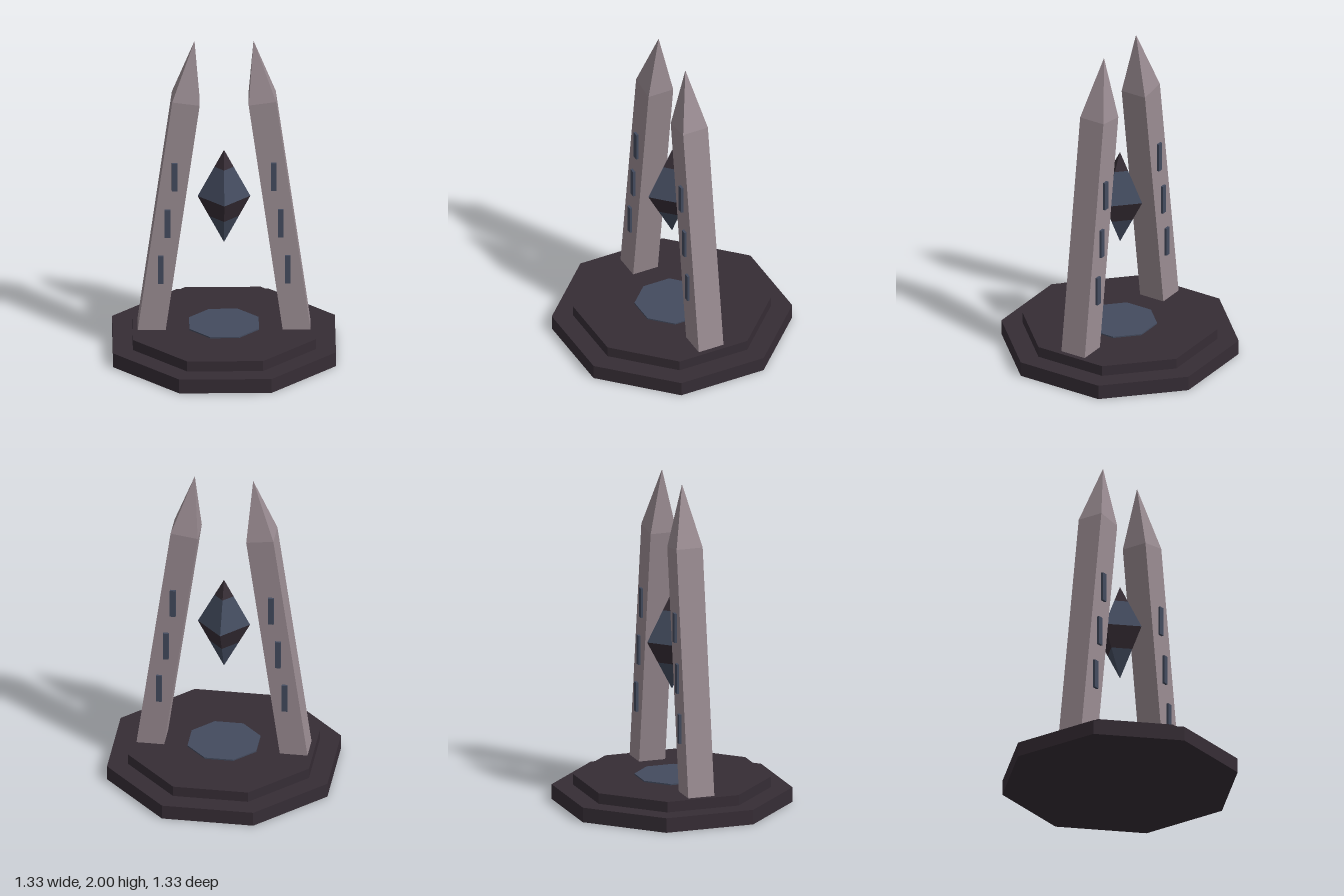
import * as THREE from 'three';

const material = (name, color) =>
  new THREE.MeshStandardMaterial({ name, color, flatShading: true });

export function createModel() {
  const model = new THREE.Group();
  model.name = 'monument';
  const paleStone = material('paleStone', 0x9a8c92);
  const darkStone = material('darkStone', 0x362d35);
  const slateBlue = material('slateBlue', 0x434b5e);

  const add = (parent, name, geometry, mat, x = 0, y = 0, z = 0) => {
    const mesh = new THREE.Mesh(geometry, mat);
    mesh.name = name;
    mesh.position.set(x, y, z);
    parent.add(mesh);
    return mesh;
  };

  // Octagonal slab given by its half width across flats
  const slab = (name, halfWidth, bottom, top, mat) => {
    const r = halfWidth / Math.cos(Math.PI / 8);
    const geometry = new THREE.CylinderGeometry(r, r, top - bottom, 8).rotateY(Math.PI / 8);
    add(model, name, geometry, mat, 0, (bottom + top) / 2);
  };
  slab('lowerStep', 0.663, 0, 0.09, darkStone);
  slab('upperStep', 0.545, 0.09, 0.155, darkStone);
  slab('centreDisc', 0.207, 0.155, 0.163, slateBlue);

  // Leaning pillars with pointed caps and upright inlays on front and back
  const tilt = 0.1377, width = 0.165, length = 1.51, capHeight = 0.379;
  for (const side of [1, -1]) {
    const label = side > 0 ? 'left' : 'right';
    const pillar = new THREE.Group();
    pillar.name = label + 'Pillar';
    pillar.position.set(side * 0.2275, 1.625, 0); // joint of shaft and cap
    pillar.rotation.z = side * tilt;
    model.add(pillar);
    add(pillar, 'shaft', new THREE.BoxGeometry(width, length, width), paleStone, 0, -length / 2);
    const cap = new THREE.ConeGeometry(width * Math.SQRT1_2, capHeight, 4, 1, true).rotateY(Math.PI / 4);
    add(pillar, 'cap', cap, paleStone, 0, capHeight / 2);

    [[0.378, 0.55], [0.337, 0.85], [0.295, 1.153]].forEach(([x, y]) =>
      add(model, label + 'Inlay', new THREE.BoxGeometry(0.034, 0.18, 0.194), slateBlue, side * x, y));
  }

  // Floating four-sided crystal, banded in two colours
  const crystal = new THREE.Group();
  crystal.name = 'crystal';
  crystal.position.y = 0.99;
  model.add(crystal);
  const radius = 0.157, half = 0.3;
  const levels = [0.3, 0.19, 0, -0.13, -0.3];
  for (let i = 0; i < 4; i++) {
    const [top, bottom] = [levels[i], levels[i + 1]];
    const at = (y) => radius * (1 - Math.abs(y) / half);
    const band = new THREE.CylinderGeometry(at(top), at(bottom), top - bottom, 4, 1, true);
    add(crystal, 'crystalBand', band, i % 2 ? slateBlue : darkStone, 0, (top + bottom) / 2);
  }
  return model;
}
